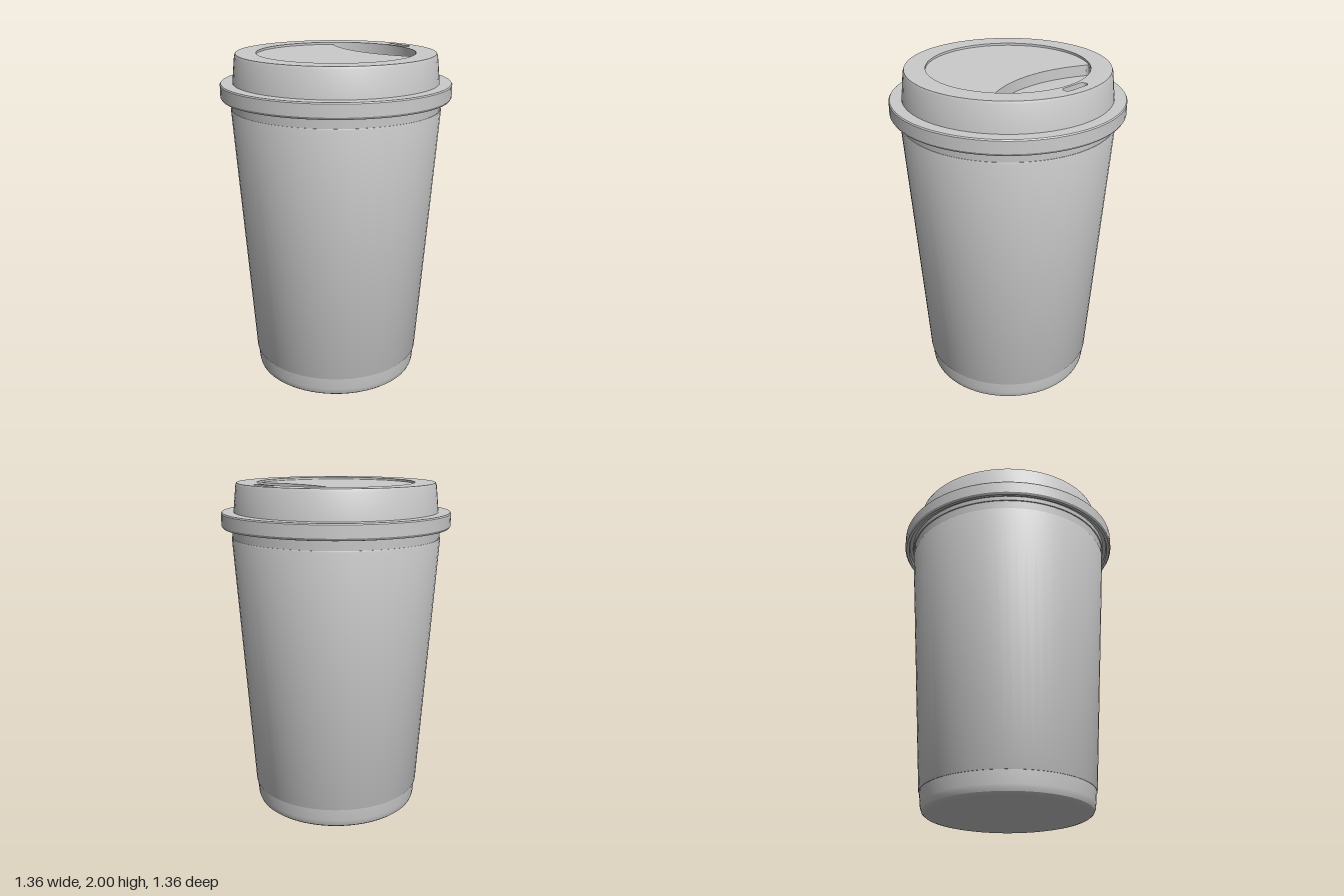
import * as THREE from 'three';
import { toCreasedNormals } from 'three/addons/utils/BufferGeometryUtils.js';

const SEG = 64;
const material = new THREE.MeshStandardMaterial({ color: 0xcccccc, side: THREE.DoubleSide });

function addMesh(group, name, geometry) {
  const mesh = new THREE.Mesh(toCreasedNormals(geometry, 0.5), material);
  mesh.name = name;
  group.add(mesh);
}

// Revolve a [radius, height] profile around y
function lathe(profile) {
  return new THREE.LatheGeometry(profile.map(([r, y]) => new THREE.Vector2(r, y)), SEG);
}

// Flat slab with a shape seen from above, between two heights
function slab(shape, y0, y1) {
  return new THREE.ExtrudeGeometry(shape, { depth: y1 - y0, bevelEnabled: false, curveSegments: SEG })
    .rotateX(-Math.PI / 2)
    .translate(0, y0, 0);
}

function circle(r, Type = THREE.Shape) {
  const c = new Type();
  c.absarc(0, 0, r, 0, Math.PI * 2, false);
  return c;
}

export function createModel() {
  const model = new THREE.Group();
  model.name = 'coffeeCup';

  // Cup body with a rounded foot
  addMesh(model, 'cupBody', lathe([
    [0, 0], [0.465, 0], [0.482, 0.004], [0.494, 0.014], [0.501, 0.032], [0.504, 0.05],
    [0.511, 0.125], [0.617, 1.68], [0.622, 1.77],
  ]));

  // Sleeve, standing slightly proud of the body
  addMesh(model, 'sleeve', lathe([
    [0.505, 0.125], [0.514, 0.125], [0.516, 0.13], [0.622, 1.675], [0.62, 1.682], [0.61, 1.682],
  ]));

  // Lid rim and tapered collar
  const lid = new THREE.Group();
  lid.name = 'lid';
  model.add(lid);
  addMesh(lid, 'lidRim', lathe([
    [0.61, 1.735], [0.627, 1.735], [0.63, 1.76], [0.65, 1.76], [0.655, 1.742], [0.672, 1.742],
    [0.68, 1.755], [0.68, 1.825], [0.675, 1.832], [0.607, 1.832], [0.591, 1.985], [0.585, 2],
  ]));

  // Raised top ring with the drinking slot
  const ring = circle(0.585);
  ring.holes.push(circle(0.465, THREE.Path));
  const slot = new THREE.Path();
  const w = 0.025, h = 0.06, sx = 0.506;
  slot.absarc(sx, h, w, 0, Math.PI, false);
  slot.absarc(sx, -h, w, Math.PI, Math.PI * 2, false);
  slot.closePath();
  ring.holes.push(slot);
  addMesh(lid, 'topRing', slab(ring, 1.92, 2));

  // Inner disc, cut away on one side by a crescent
  const a = Math.atan2(0.363, 0.29);
  const cx = 0.945, R = 0.765;
  const b = Math.asin(0.35 / R);
  const disc = new THREE.Shape();
  disc.absarc(0, 0, 0.465, a, Math.PI * 2 - a, false);
  disc.quadraticCurveTo(0.267, -0.37, cx - R * Math.cos(b), -0.35);
  disc.absarc(cx, 0, R, Math.PI + b, Math.PI - b, true);
  disc.quadraticCurveTo(0.267, 0.37, 0.29, 0.363);
  addMesh(lid, 'innerDisc', slab(disc, 1.92, 1.987));

  // Floor under the crescent recess and the slot
  addMesh(lid, 'recessFloor', slab(circle(0.58), 1.91, 1.925));

  return model;
}
